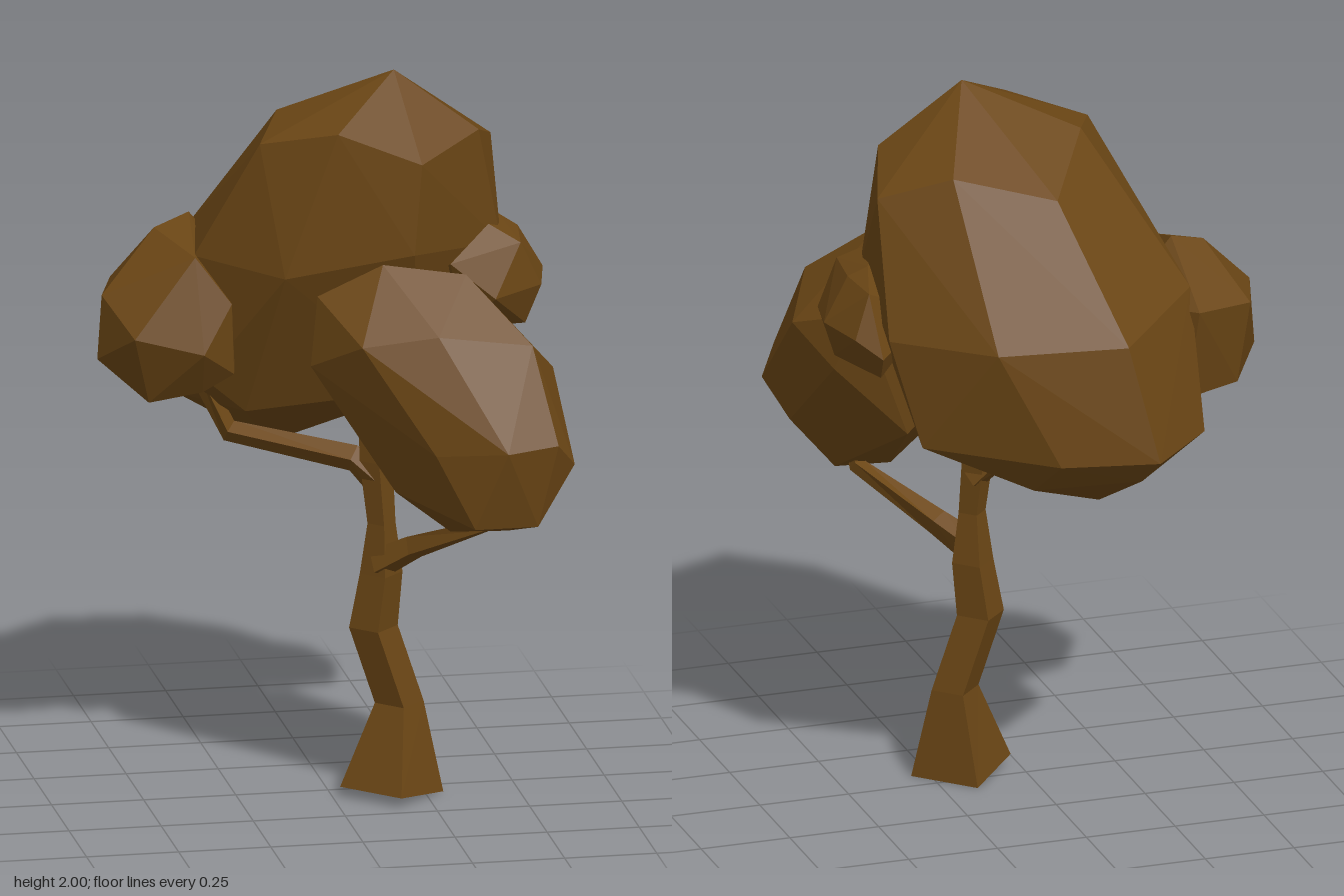
import * as THREE from 'three';
import { ConvexGeometry } from 'three/addons/geometries/ConvexGeometry.js';

const brown = new THREE.MeshStandardMaterial({ color: 0x6b4615, flatShading: true });

function addMesh(group, name, geometry) {
  const mesh = new THREE.Mesh(geometry, brown);
  mesh.name = name;
  group.add(mesh);
}

// Faceted leaf mass: the hull of a few corner points
function foliage(points) {
  return new ConvexGeometry(points.map(p => new THREE.Vector3(...p)));
}

// Four-sided limb through stations [x, y, z, radius]; level = horizontal rings
function limb(stations, level = false) {
  const pts = stations.map(s => new THREE.Vector3(s[0], s[1], s[2]));
  const pos = [], index = [], n = pts.length;
  pts.forEach((p, i) => {
    const dir = level ? new THREE.Vector3(0, 1, 0)
      : pts[Math.min(i + 1, n - 1)].clone().sub(pts[Math.max(i - 1, 0)]).normalize();
    const u = new THREE.Vector3(0, 0, 1).cross(dir);
    if (level) u.set(1, 0, 0);
    u.normalize();
    const v = dir.clone().cross(u);
    for (let k = 0; k < 4; k++) {
      const a = k * Math.PI / 2;
      const q = p.clone().addScaledVector(u, Math.cos(a) * stations[i][3])
        .addScaledVector(v, Math.sin(a) * stations[i][3]);
      pos.push(q.x, q.y, q.z);
    }
  });
  for (let i = 0; i < n - 1; i++) for (let k = 0; k < 4; k++) {
    const a = i * 4 + k, b = i * 4 + (k + 1) % 4;
    index.push(a, b, b + 4, a, b + 4, a + 4);
  }
  const e = (n - 1) * 4;
  index.push(0, 2, 1, 0, 3, 2, e, e + 1, e + 2, e, e + 2, e + 3);
  const g = new THREE.BufferGeometry();
  g.setAttribute('position', new THREE.Float32BufferAttribute(pos, 3));
  g.setIndex(index);
  const flat = g.toNonIndexed();
  flat.computeVertexNormals();
  return flat;
}

export function createModel() {
  const tree = new THREE.Group();
  tree.name = 'tree';

  // Crooked trunk with a flared, slightly tilted foot
  const trunk = limb([
    [0.16, 0.015, 0.07, 0.14], [0.185, 0.25, 0.045, 0.066], [0.117, 0.46, 0.035, 0.066],
    [0.137, 0.61, 0.04, 0.058], [0.137, 0.75, 0.045, 0.038], [0.125, 0.92, 0.03, 0.045],
    [0.11, 1.15, 0.015, 0.03],
  ], true);
  const p = trunk.attributes.position;
  for (let i = 0; i < p.count; i++) {
    if (p.getY(i) < 0.1) p.setY(i, Math.max(0, 0.015 + (p.getZ(i) - 0.07) * 0.1 - (p.getX(i) - 0.16) * 0.1));
  }
  trunk.computeVertexNormals();
  addMesh(tree, 'trunk', trunk);

  // Side branches
  addMesh(tree, 'frontBranch', limb([
    [0.13, 0.64, 0.05, 0.045], [0.21, 0.70, 0.12, 0.035], [0.37, 0.81, 0.32, 0.022], [0.38, 0.92, 0.36, 0.02],
  ]));
  addMesh(tree, 'sideBranch', limb([
    [0.14, 0.85, 0.035, 0.04], [0.07, 0.92, 0.0, 0.036], [-0.24, 0.97, -0.15, 0.03],
    [-0.32, 1.13, -0.16, 0.025], [-0.38, 1.25, -0.15, 0.02],
  ]));

  // Leaf masses, listed from crown to underside
  addMesh(tree, 'mainFoliage', foliage([
    [0.175, 2.0, 0.02], [-0.01, 1.88, 0.2], [0.40, 1.83, 0.05], [0.47, 1.76, -0.15],
    [0.22, 1.78, 0.19], [-0.20, 1.83, 0.08], [-0.12, 1.87, -0.10], [0.29, 1.83, -0.25],
    [0.02, 1.76, -0.32], [-0.15, 1.48, 0.18], [0.20, 1.53, 0.19], [-0.36, 1.5, -0.02],
    [-0.36, 1.46, -0.30], [0.48, 1.40, -0.28], [0.47, 1.5, 0.0], [0.24, 1.40, -0.48],
    [-0.11, 1.40, -0.53], [-0.18, 1.08, -0.585], [0.08, 1.08, -0.53], [-0.36, 1.09, -0.42],
    [0.40, 1.10, -0.32], [-0.35, 1.03, -0.33], [-0.15, 1.01, -0.52], [-0.10, 0.885, -0.31],
    [0.12, 0.98, -0.42], [0.25, 1.1, 0.0], [-0.22, 1.06, -0.02], [-0.33, 1.15, -0.05],
  ]));
  addMesh(tree, 'frontFoliage', foliage([
    [0.10, 1.53, 0.26], [0.32, 1.50, 0.29], [-0.07, 1.44, 0.22], [-0.09, 1.25, 0.23],
    [0.02, 1.34, 0.39], [0.22, 1.37, 0.43], [0.47, 1.34, 0.45], [0.20, 1.06, 0.50],
    [0.38, 1.08, 0.585], [0.52, 1.09, 0.56], [0.575, 1.02, 0.50], [0.47, 0.86, 0.53],
    [0.30, 0.86, 0.53], [0.42, 0.80, 0.35], [0.27, 0.80, 0.33], [0.12, 0.92, 0.34],
    [0.53, 0.93, 0.40], [0.55, 1.24, 0.32], [0.48, 1.15, 0.18], [0.42, 1.32, 0.12],
    [0.20, 1.42, 0.10], [0.10, 1.22, 0.03], [0.30, 0.97, 0.10],
  ]));
  addMesh(tree, 'rightFoliage', foliage([
    [-0.44, 1.54, -0.17], [-0.34, 1.57, -0.20], [-0.36, 1.50, 0.0], [-0.54, 1.38, -0.27],
    [-0.595, 1.38, -0.10], [-0.605, 1.20, -0.11], [-0.53, 1.29, 0.035], [-0.27, 1.38, 0.05],
    [-0.35, 1.25, 0.08], [-0.26, 1.18, 0.03], [-0.48, 1.095, -0.03], [-0.34, 1.125, 0.0],
    [-0.37, 1.40, -0.35], [-0.51, 1.15, -0.25], [-0.35, 1.14, -0.30], [-0.20, 1.40, -0.20],
  ]));
  addMesh(tree, 'leftFoliage', foliage([
    [0.48, 1.55, -0.10], [0.43, 1.56, 0.03], [0.53, 1.52, -0.08], [0.51, 1.515, 0.07],
    [0.51, 1.51, -0.20], [0.60, 1.40, -0.09], [0.57, 1.39, 0.05], [0.555, 1.39, -0.22],
    [0.49, 1.34, -0.26], [0.56, 1.29, -0.06], [0.53, 1.28, 0.03], [0.48, 1.25, -0.10],
    [0.43, 1.38, 0.135], [0.31, 1.48, 0.12], [0.36, 1.28, 0.05], [0.30, 1.40, -0.10],
    [0.48, 1.27, -0.21],
  ]));

  return tree;
}
